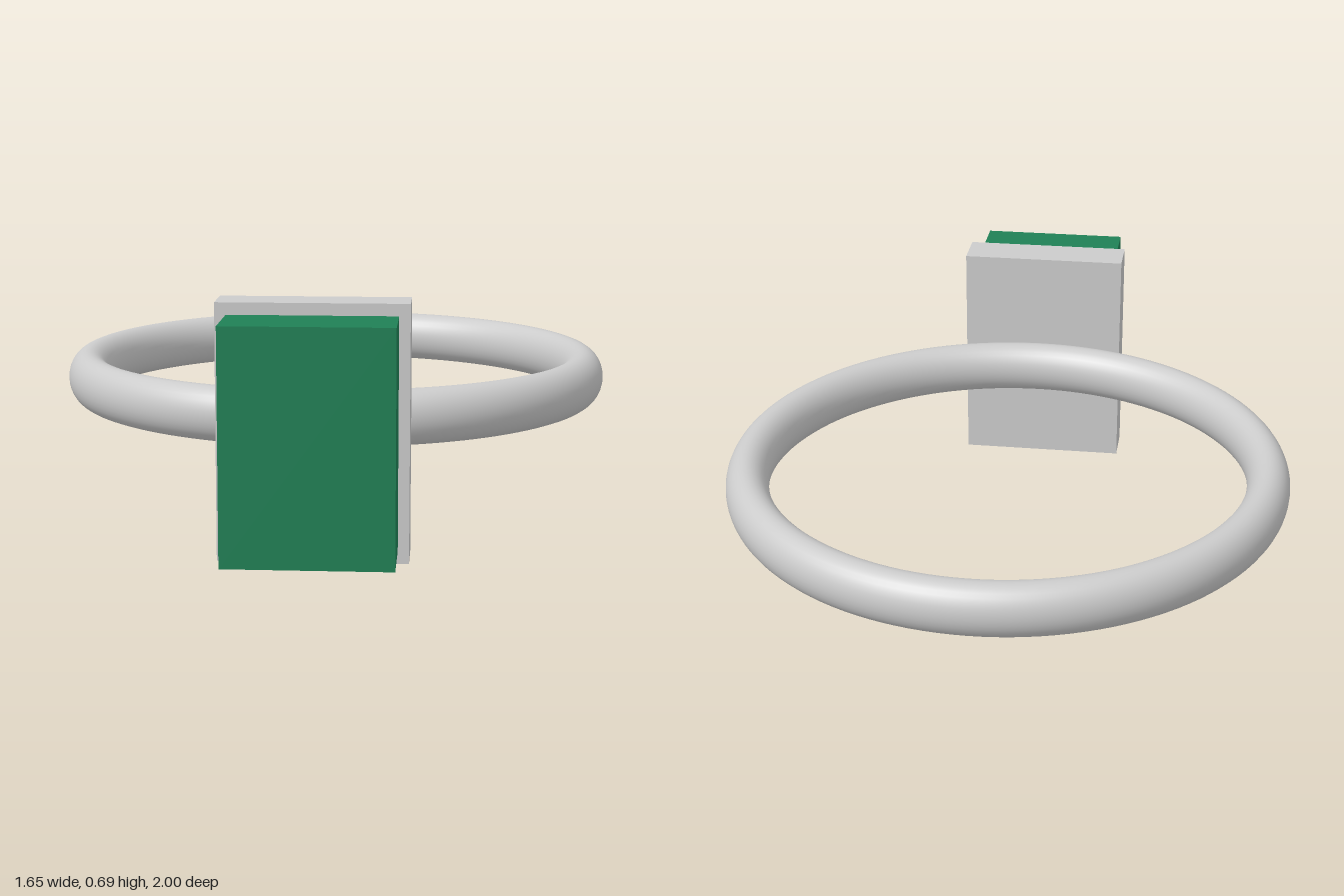
import * as THREE from 'three';

export function createModel() {
  const model = new THREE.Group();
  model.name = 'ring';
  const metal = new THREE.MeshStandardMaterial({ color: 0xcccccc });
  const green = new THREE.MeshStandardMaterial({ color: 0x1f8055 });

  const add = (name, geometry, material, x, y, z) => {
    const mesh = new THREE.Mesh(geometry, material);
    mesh.name = name;
    mesh.position.set(x, y, z);
    model.add(mesh);
  };

  // Band: a horizontal torus, its section stretched taller than wide
  const band = new THREE.TorusGeometry(0.7625, 0.0625, 32, 128);
  band.rotateX(Math.PI / 2);
  band.scale(1, 1.25, 1);
  add('band', band, metal, 0, 0.347, -0.175);

  // Setting plate in front of the band
  add('settingPlate', new THREE.BoxGeometry(0.51, 0.692, 0.132), metal, 0, 0.346, 0.732);

  // Rectangular stone on the plate
  add('stone', new THREE.BoxGeometry(0.45, 0.625, 0.202), green, 0, 0.347, 0.899);

  return model;
}
